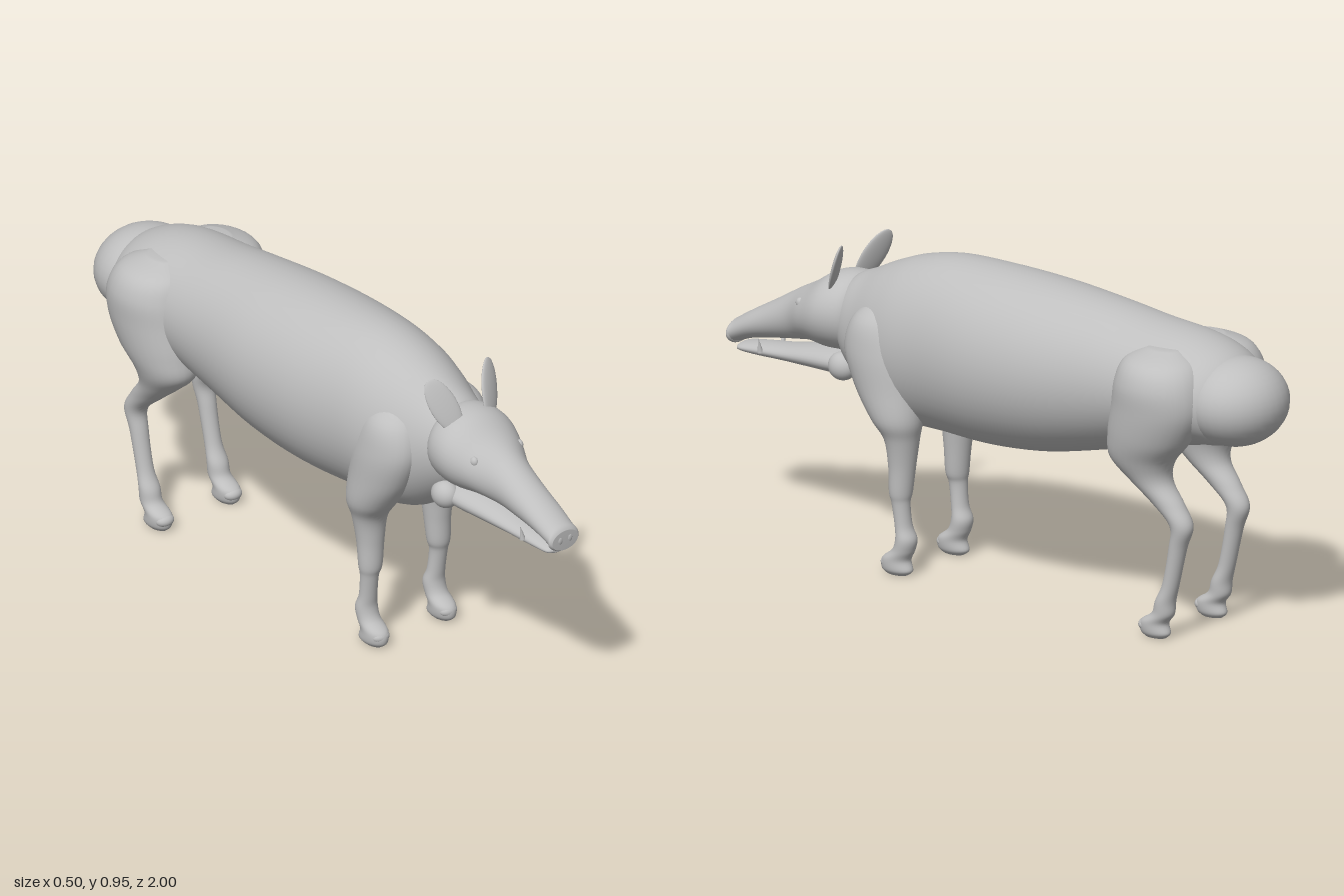
import * as THREE from 'three';

const hide = new THREE.MeshStandardMaterial({ color: 0xbfbfbf });
hide.name = 'grey hide';

// Catmull-Rom blend of one section value
function blend(a, b, c, d, t) {
  return 0.5 * (2 * b + (c - a) * t + (2 * a - 5 * b + 4 * c - d) * t * t + (3 * b - a - 3 * c + d) * t * t * t);
}

// Smooth closed skin through elliptical sections [x, y, z, radiusX, otherRadius],
// listed in ascending order along the axis ('y' or 'z')
function loft(name, sections, axis, sides = 36, steps = 6) {
  const rings = [];
  const n = sections.length;
  for (let i = 0; i < n - 1; i++) {
    const q = [Math.max(i - 1, 0), i, i + 1, Math.min(i + 2, n - 1)].map((k) => sections[k]);
    for (let s = 0; s < steps; s++) {
      rings.push(q[1].map((_, k) => blend(q[0][k], q[1][k], q[2][k], q[3][k], s / steps)));
    }
  }
  rings.push(sections[n - 1]);
  const pos = [];
  const index = [];
  for (const [x, y, z, a, b] of rings) {
    for (let j = 0; j < sides; j++) {
      const t = (j / sides) * Math.PI * 2;
      if (axis === 'z') pos.push(x + a * Math.cos(t), y + b * Math.sin(t), z);
      else pos.push(x + a * Math.sin(t), y, z + b * Math.cos(t));
    }
  }
  const last = rings.length - 1;
  const start = pos.length / 3;
  pos.push(...rings[0].slice(0, 3), ...rings[last].slice(0, 3));
  for (let j = 0; j < sides; j++) {
    const k = (j + 1) % sides;
    for (let i = 0; i < last; i++) {
      const r = i * sides, u = r + sides;
      index.push(r + j, r + k, u + k, r + j, u + k, u + j);
    }
    index.push(start, k, j, start + 1, last * sides + j, last * sides + k);
  }
  const g = new THREE.BufferGeometry();
  g.setAttribute('position', new THREE.Float32BufferAttribute(pos, 3));
  g.setIndex(index);
  g.computeVertexNormals();
  const mesh = new THREE.Mesh(g, hide);
  mesh.name = name;
  return mesh;
}

function ellipsoid(name, at, radii, rotation = [0, 0, 0]) {
  const mesh = new THREE.Mesh(new THREE.SphereGeometry(1, 32, 20), hide);
  mesh.name = name;
  mesh.position.set(...at);
  mesh.scale.set(...radii);
  mesh.rotation.set(...rotation);
  return mesh;
}

export function createModel() {
  const model = new THREE.Group();
  model.name = 'boar';

  // Barrel body and rounded rump
  model.add(loft('body', [
    [0, 0.71, -0.9, 0.08, 0.08],
    [0, 0.715, -0.84, 0.15, 0.13],
    [0, 0.725, -0.77, 0.18, 0.152],
    [0, 0.725, -0.68, 0.19, 0.172],
    [0, 0.716, -0.54, 0.197, 0.194],
    [0, 0.706, -0.4, 0.207, 0.221],
    [0, 0.692, -0.2, 0.228, 0.252],
    [0, 0.686, 0, 0.228, 0.266],
    [0, 0.686, 0.18, 0.208, 0.264],
    [0, 0.676, 0.3, 0.195, 0.252],
    [0, 0.67, 0.39, 0.172, 0.226],
    [0, 0.675, 0.47, 0.14, 0.183],
    [0, 0.69, 0.54, 0.11, 0.135],
    [0, 0.7, 0.57, 0.07, 0.08],
  ], 'z', 48));
  model.add(ellipsoid('rump', [0, 0.715, -0.85], [0.16, 0.13, 0.15]));

  // Long wedge head with full cheeks
  model.add(loft('head', [
    [0, 0.71, 0.5, 0.07, 0.07],
    [0, 0.712, 0.52, 0.112, 0.105],
    [0, 0.712, 0.56, 0.132, 0.118],
    [0, 0.705, 0.62, 0.134, 0.114],
    [0, 0.686, 0.69, 0.108, 0.09],
    [0, 0.662, 0.76, 0.073, 0.077],
    [0, 0.632, 0.84, 0.062, 0.06],
    [0, 0.602, 0.92, 0.057, 0.045],
    [0, 0.576, 0.975, 0.053, 0.038],
    [0, 0.567, 0.992, 0.055, 0.036],
    [0, 0.563, 1.0, 0.048, 0.03],
  ], 'z', 40));

  // Lower jaw
  model.add(loft('lowerJaw', [
    [0, 0.56, 0.5, 0.05, 0.02],
    [0, 0.56, 0.53, 0.075, 0.038],
    [0, 0.556, 0.6, 0.08, 0.04],
    [0, 0.548, 0.7, 0.068, 0.034],
    [0, 0.538, 0.8, 0.056, 0.025],
    [0, 0.53, 0.9, 0.048, 0.02],
    [0, 0.526, 0.96, 0.042, 0.014],
    [0, 0.525, 0.975, 0.025, 0.007],
  ], 'z', 32));

  // Snout disc rim
  const snout = new THREE.Mesh(new THREE.TorusGeometry(0.042, 0.008, 12, 36), hide);
  snout.name = 'snoutRim';
  snout.position.set(0, 0.565, 0.99);
  snout.scale.set(1.1, 0.72, 0.9);
  model.add(snout);

  for (const s of [1, -1]) {
    const side = s > 0 ? 'left' : 'right';

    model.add(ellipsoid(side + 'JawCorner', [s * 0.07, 0.56, 0.55], [0.038, 0.042, 0.045]));
    model.add(ellipsoid(side + 'Eye', [s * 0.084, 0.725, 0.695], [0.012, 0.015, 0.014]));
    model.add(ellipsoid(side + 'Nostril', [s * 0.018, 0.566, 0.998], [0.009, 0.012, 0.004]));
    model.add(ellipsoid(side + 'Ear', [s * 0.086, 0.853, 0.562], [0.041, 0.09, 0.01], [-0.32, s * 0.4, -s * 0.32]));

    const tusk = new THREE.Mesh(new THREE.ConeGeometry(0.009, 0.045, 12), hide);
    tusk.name = side + 'Tusk';
    tusk.position.set(s * 0.055, 0.555, 0.87);
    tusk.rotation.z = -s * 0.2;
    model.add(tusk);

    // Shoulder running down into the foreleg and hoof
    model.add(loft(side + 'Foreleg', [
      [0.128, 0, 0.3, 0.02, 0.035],
      [0.128, 0.015, 0.3, 0.033, 0.052],
      [0.127, 0.045, 0.303, 0.036, 0.046],
      [0.127, 0.075, 0.278, 0.034, 0.034],
      [0.127, 0.11, 0.268, 0.034, 0.031],
      [0.128, 0.15, 0.277, 0.028, 0.025],
      [0.13, 0.215, 0.285, 0.028, 0.027],
      [0.128, 0.25, 0.287, 0.036, 0.034],
      [0.126, 0.33, 0.284, 0.042, 0.04],
      [0.128, 0.41, 0.284, 0.054, 0.052],
      [0.133, 0.47, 0.3, 0.072, 0.08],
      [0.13, 0.56, 0.335, 0.078, 0.108],
      [0.128, 0.66, 0.362, 0.078, 0.118],
      [0.112, 0.75, 0.37, 0.073, 0.09],
      [0.09, 0.81, 0.36, 0.03, 0.035],
    ].map(([x, ...rest]) => [s * x, ...rest]), 'y', 28));
    model.add(ellipsoid(side + 'ForeToe', [s * 0.127, 0.033, 0.328], [0.03, 0.02, 0.025]));

    // Haunch running down through the hock to the hind hoof
    model.add(loft(side + 'HindLeg', [
      [0.128, 0, -0.655, 0.02, 0.035],
      [0.128, 0.015, -0.655, 0.032, 0.05],
      [0.128, 0.045, -0.652, 0.035, 0.046],
      [0.128, 0.075, -0.683, 0.032, 0.035],
      [0.128, 0.115, -0.692, 0.032, 0.03],
      [0.128, 0.17, -0.712, 0.026, 0.025],
      [0.128, 0.28, -0.737, 0.028, 0.027],
      [0.128, 0.35, -0.75, 0.034, 0.036],
      [0.128, 0.41, -0.7, 0.042, 0.052],
      [0.13, 0.47, -0.64, 0.058, 0.068],
      [0.135, 0.53, -0.612, 0.078, 0.105],
      [0.138, 0.6, -0.64, 0.096, 0.135],
      [0.138, 0.69, -0.67, 0.108, 0.15],
      [0.135, 0.77, -0.675, 0.112, 0.142],
      [0.12, 0.83, -0.67, 0.095, 0.115],
      [0.1, 0.865, -0.665, 0.035, 0.05],
    ].map(([x, ...rest]) => [s * x, ...rest]), 'y', 28));
    model.add(ellipsoid(side + 'HindToe', [s * 0.128, 0.033, -0.625], [0.03, 0.02, 0.025]));
  }
  return model;
}
